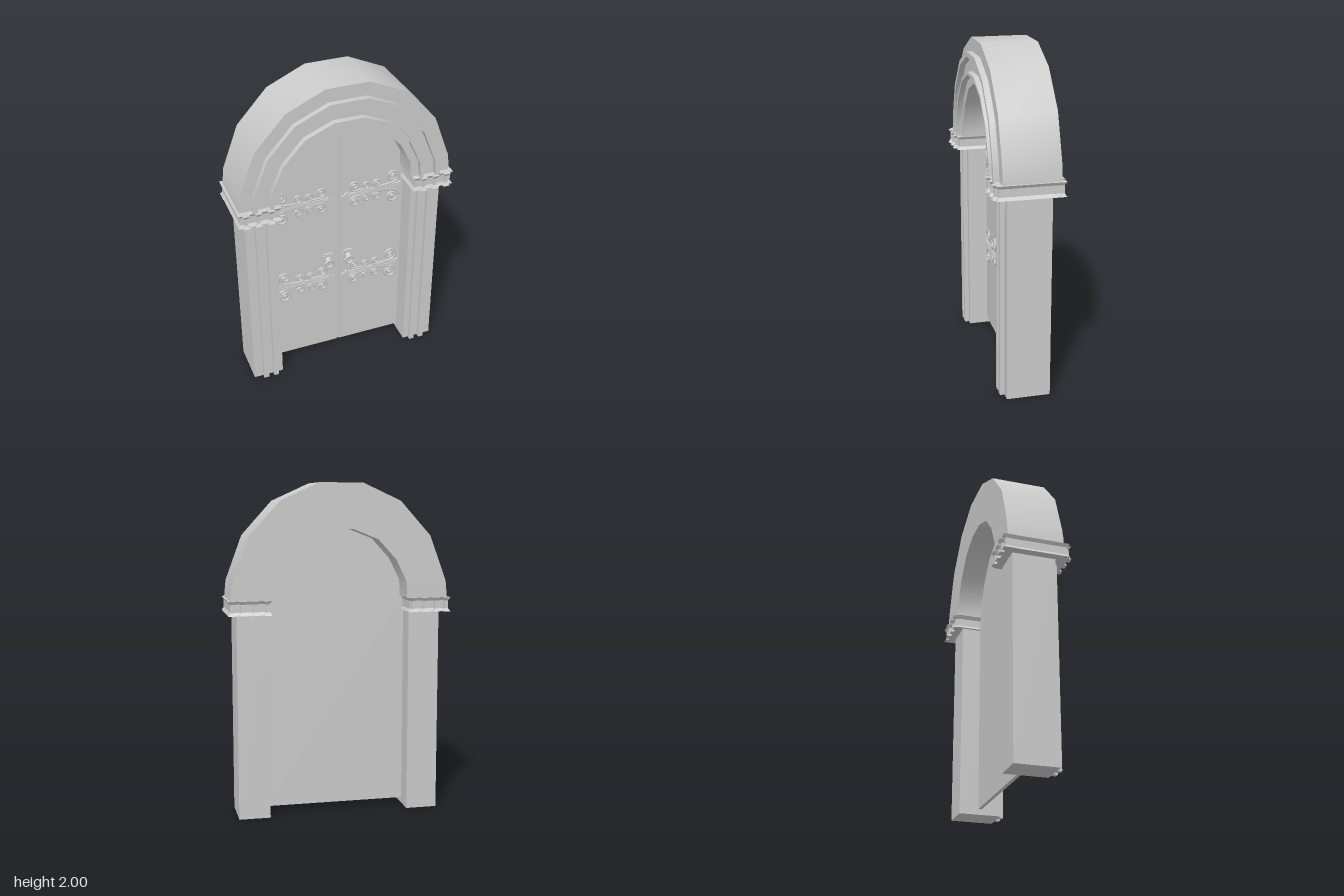
import * as THREE from 'three';
import { toCreasedNormals } from 'three/addons/utils/BufferGeometryUtils.js';

const material = new THREE.MeshStandardMaterial({ color: 0xcccccc });

// Right half of the arch, from springing to crown, at its inner and outer edges
const INNER = [[0.405, 1.32], [0.4, 1.42], [0.335, 1.55], [0.225, 1.67], [0.075, 1.73]];
const OUTER = [[0.655, 1.32], [0.645, 1.42], [0.545, 1.69], [0.36, 1.895], [0.13, 2.0]];

function archHalf(t) {
  return INNER.map(([x, y], i) => [x + (OUTER[i][0] - x) * t, y + (OUTER[i][1] - y) * t]);
}

function archFull(t) {
  const half = archHalf(t);
  return [...half, ...half.map(([x, y]) => [-x, y]).reverse()];
}

function add(parent, name, geometry, x = 0, y = 0, z = 0) {
  const mesh = new THREE.Mesh(geometry, material);
  mesh.name = name;
  mesh.position.set(x, y, z);
  parent.add(mesh);
  return mesh;
}

// Box given by its limits
function block(parent, name, [x0, x1], [y0, y1], [z0, z1]) {
  return add(parent, name, new THREE.BoxGeometry(x1 - x0, y1 - y0, z1 - z0),
    (x0 + x1) / 2, (y0 + y1) / 2, (z0 + z1) / 2);
}

// Flat outline pulled from z0 to z1
function slab(parent, name, points, z0, z1) {
  const shape = new THREE.Shape(points.map(([x, y]) => new THREE.Vector2(x, y)));
  const geo = new THREE.ExtrudeGeometry(shape, { depth: z1 - z0, bevelEnabled: false });
  return add(parent, name, toCreasedNormals(geo, 0.7), 0, 0, z0);
}

// Arched band between two fractions of the arch width
function archBand(parent, name, t0, t1, z0, z1) {
  return slab(parent, name, [...archFull(t1), ...archFull(t0).reverse()], z0, z1);
}

// Capital block with a pinched waist
function waistedBlock(parent, name, [x0, x1], [z0, z1]) {
  const h = 0.085, inset = 0.012;
  const geo = new THREE.BoxGeometry(x1 - x0, h, z1 - z0, 1, 4, 1).toNonIndexed();
  const p = geo.attributes.position;
  for (let i = 0; i < p.count; i++) {
    const y = p.getY(i);
    if (Math.abs(y) > h * 0.4) continue;
    p.setX(i, p.getX(i) - Math.sign(p.getX(i)) * inset);
    p.setZ(i, p.getZ(i) - Math.sign(p.getZ(i)) * inset);
    p.setY(i, y * 1.1);
  }
  geo.computeVertexNormals();
  add(parent, name, geo, (x0 + x1) / 2, 1.2775, (z0 + z1) / 2);
}

const sided = (s, a, b) => (s > 0 ? [a, b] : [-b, -a]);

function pillar(s) {
  const g = new THREE.Group();
  g.name = s > 0 ? 'leftPillar' : 'rightPillar';
  block(g, 'pillarShaft', sided(s, 0.427, 0.617), [0, 1.24], [-0.14, 0.12]);
  for (const [a, b] of [[0.463, 0.493], [0.528, 0.56]])
    block(g, 'pillarRib', sided(s, a, b), [0, 1.24], [0.12, 0.148]);
  waistedBlock(g, 'capital', sided(s, 0.412, 0.668), [-0.186, 0.19]);
  for (const [a, b] of [[0.455, 0.495], [0.53, 0.572], [0.602, 0.645]])
    waistedBlock(g, 'capitalFrontTooth', sided(s, a, b), [0.13, 0.208]);
  for (const [a, b, z] of [[0.42, 0.463, -0.203], [0.49, 0.533, -0.203], [0.563, 0.608, -0.21], [0.625, 0.67, -0.205]])
    waistedBlock(g, 'capitalBackTooth', sided(s, a, b), [z, -0.13]);
  return g;
}

// Spiral around (u, v), from its eye out to its lowest point
function spiral([u, v, r], turn) {
  const pts = [], n = 30, turns = 1.75;
  for (let i = 0; i <= n; i++) {
    const k = i / n;
    const a = -Math.PI / 2 + turn * (1 - k) * turns * Math.PI * 2;
    const rad = r * (0.16 + 0.84 * k);
    pts.push([u + Math.cos(a) * rad, v + Math.sin(a) * rad]);
  }
  return pts;
}

// Iron hinge: tapered strap, arrow tip and four C-scrolls
function hinge(s, y) {
  const g = new THREE.Group();
  g.name = 'hinge';
  g.position.y = y;
  const edge = [[0.41, 0.024], [0.4, 0.018], [0.24, 0.014], [0.07, 0.009], [0.064, 0.02], [0.052, 0.016], [0.044, 0.008]];
  const outline = [...edge, [0.022, 0], ...edge.map(([u, v]) => [u, -v]).reverse()];
  slab(g, 'hingeStrap', outline.map(([u, v]) => [s * u, v]), -0.002, 0.012);
  block(g, 'strapRidge', sided(s, 0.06, 0.4), [-0.003, 0.003], [0.01, 0.016]);
  const scrolls = [
    [[0.356, 0.071, 0.046], [0.256, 0.046, 0.029]],
    [[0.182, 0.045, 0.025], [0.108, 0.056, 0.034]],
  ];
  for (const m of [1, -1]) for (const [a, b] of scrolls) {
    const path = [...spiral(a, 1), ...spiral(b, -1).reverse()]
      .map(([u, v]) => new THREE.Vector3(s * u, m * v, 0.005));
    const geo = new THREE.TubeGeometry(new THREE.CatmullRomCurve3(path), 110, 0.0065, 6);
    add(g, 'hingeScroll', geo);
    for (const [u, v, r] of [a, b])
      add(g, 'scrollEye', new THREE.SphereGeometry(r * 0.25, 8, 6), s * u, m * v, 0.005);
  }
  return g;
}

// Ring pull on a stepped plate
function ringPull(s) {
  const g = new THREE.Group();
  g.name = 'ringPull';
  g.position.set(s * 0.067, 0.72, 0);
  block(g, 'pullPlate', [-0.038, 0.038], [-0.012, 0.037], [-0.002, 0.01]);
  block(g, 'pullPlateCentre', [-0.027, 0.027], [-0.045, 0.051], [-0.002, 0.014]);
  const boss = add(g, 'pullBoss', new THREE.SphereGeometry(0.022, 12, 8), 0, 0.008, 0.014);
  boss.scale.z = 0.9;
  const ring = add(g, 'pullRing', new THREE.TorusGeometry(0.028, 0.0075, 8, 20), 0, -0.016, 0.029);
  ring.rotation.x = 0.12;
  return g;
}

export function createModel() {
  const model = new THREE.Group();
  model.name = 'archedDoorway';

  // Stone arch with two raised ribs
  const arch = new THREE.Group();
  arch.name = 'arch';
  archBand(arch, 'archRing', 0, 1, -0.18, 0.155);
  archBand(arch, 'outerArchRib', 0.59, 0.7, 0.15, 0.19);
  archBand(arch, 'innerArchRib', 0.2, 0.27, 0.15, 0.19);
  model.add(arch);

  // Door: backing panel with two leaves and a narrow gap between
  const door = new THREE.Group();
  door.name = 'door';
  const rim = archHalf(0.06);
  const half = [[0.44, 0.035], [0.44, 1.3], ...rim];
  slab(door, 'doorBacking', [...half, ...half.map(([x, y]) => [-x, y]).reverse()], -0.022, -0.008);

  for (const s of [1, -1]) {
    model.add(pillar(s));
    const leaf = [[0.006, 0.035], ...half, [0.006, rim[rim.length - 1][1]]];
    slab(door, s > 0 ? 'leftLeaf' : 'rightLeaf', leaf.map(([x, y]) => [s * x, y]), -0.008, 0);
    door.add(hinge(s, 1.178), hinge(s, 0.583), ringPull(s));
  }
  model.add(door);
  return model;
}
